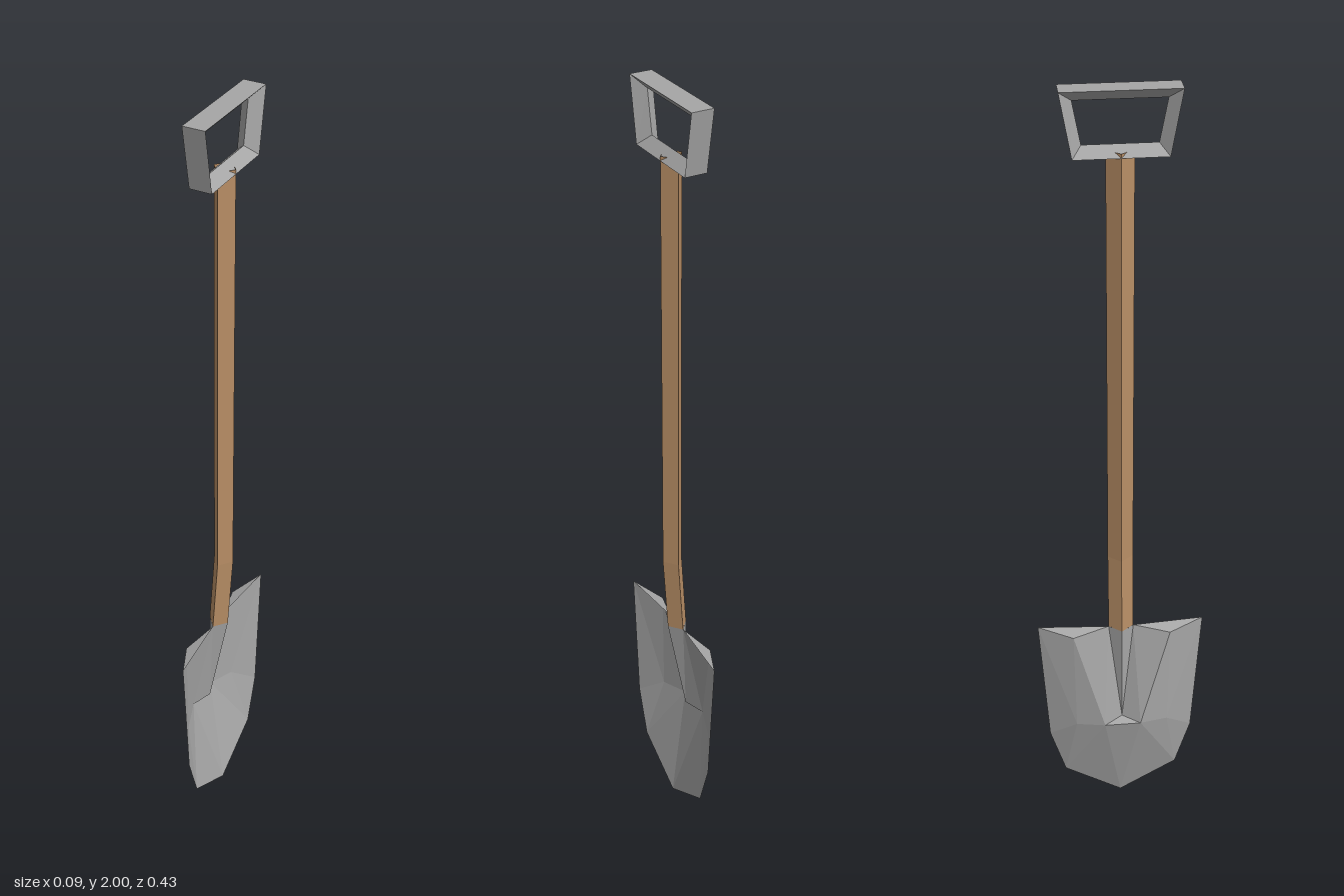
import * as THREE from 'three';

const steel = new THREE.MeshStandardMaterial({ name: 'steel', color: 0xa6a6a6, flatShading: true, side: THREE.DoubleSide });
const wood = new THREE.MeshStandardMaterial({ name: 'wood', color: 0xb98f66, flatShading: true, side: THREE.DoubleSide });

// Mesh from a flat list of triangle corners [x, y, z]
function facetMesh(name, corners, material) {
  const geo = new THREE.BufferGeometry();
  geo.setAttribute('position', new THREE.Float32BufferAttribute(corners.flat(), 3));
  geo.computeVertexNormals();
  const mesh = new THREE.Mesh(geo, material);
  mesh.name = name;
  return mesh;
}

// Skin a series of closed cross-sections; optionally join last to first
function loft(rings, closed) {
  const out = [];
  const spans = closed ? rings.length : rings.length - 1;
  for (let r = 0; r < spans; r++) {
    const a = rings[r], b = rings[(r + 1) % rings.length];
    for (let i = 0; i < a.length; i++) {
      const j = (i + 1) % a.length;
      out.push(a[i], a[j], b[j], a[i], b[j], b[i]);
    }
  }
  return out;
}

// Build triangles for the +z half and mirror them to -z
function mirrored(points, faces) {
  const out = [];
  for (const face of faces) {
    const tri = face.split(' ').map((k) => points[k]);
    out.push(...tri);
    out.push(...tri.reverse().map(([x, y, z]) => [x, y, -z]));
  }
  return out;
}

export function createModel() {
  const model = new THREE.Group();
  model.name = 'shovel';

  // Corners of half the blade
  const p = {
    shoulder: [0.018, 0.58, 0.214],
    step: [-0.022, 0.568, 0.125],
    neck: [0.004, 0.58, 0.032],
    neckFront: [0.031, 0.58, 0],
    neckBack: [-0.022, 0.58, 0],
    valley: [-0.022, 0.3, 0],
    ridge: [-0.047, 0.29, 0.047],
    ridgeMid: [-0.047, 0.29, 0],
    side: [-0.022, 0.28, 0.12],
    edgeHigh: [0.018, 0.22, 0.19],
    edgeLow: [0.018, 0.09, 0.15],
    tip: [0.018, 0, 0],
  };

  // Dished blade with folded foot steps
  model.add(facetMesh('blade', mirrored(p, [
    'shoulder neck step',
    'step neck ridge',
    'neck valley ridge',
    'shoulder step side',
    'shoulder side edgeHigh',
    'step ridge side',
    'side edgeLow edgeHigh',
    'side ridge edgeLow',
    'ridge tip edgeLow',
    'valley ridgeMid ridge',
    'ridge ridgeMid tip',
  ]), steel));

  // Tapered socket holding the shaft
  model.add(facetMesh('socket', mirrored(p, [
    'neckFront neck valley',
    'neckBack valley neck',
  ]), steel));

  // Four-sided shaft, bent near the blade
  const shaftRings = [[0.58, 0.0045], [0.79, 0.018], [1.86, 0.018]].map(([y, x]) => [
    [x + 0.0265, y, 0], [x, y, -0.032], [x - 0.0265, y, 0], [x, y, 0.032],
  ]);
  model.add(facetMesh('shaft', loft(shaftRings, false), wood));

  // Grip frame with a triangular section: flat outside, ridge inside
  const gripCorners = [
    { outer: [1.85, 0.107], inner: [1.874, 0.085], s: 1 },
    { outer: [1.85, 0.107], inner: [1.874, 0.085], s: -1 },
    { outer: [2, 0.134], inner: [1.973, 0.104], s: -1 },
    { outer: [2, 0.134], inner: [1.973, 0.104], s: 1 },
  ];
  const gripRings = gripCorners.map(({ outer, inner, s }) => [
    [0.045, outer[0], s * outer[1]],
    [-0.009, outer[0], s * outer[1]],
    [0.018, inner[0], s * inner[1]],
  ]);
  model.add(facetMesh('grip', loft(gripRings, true), steel));

  return model;
}
